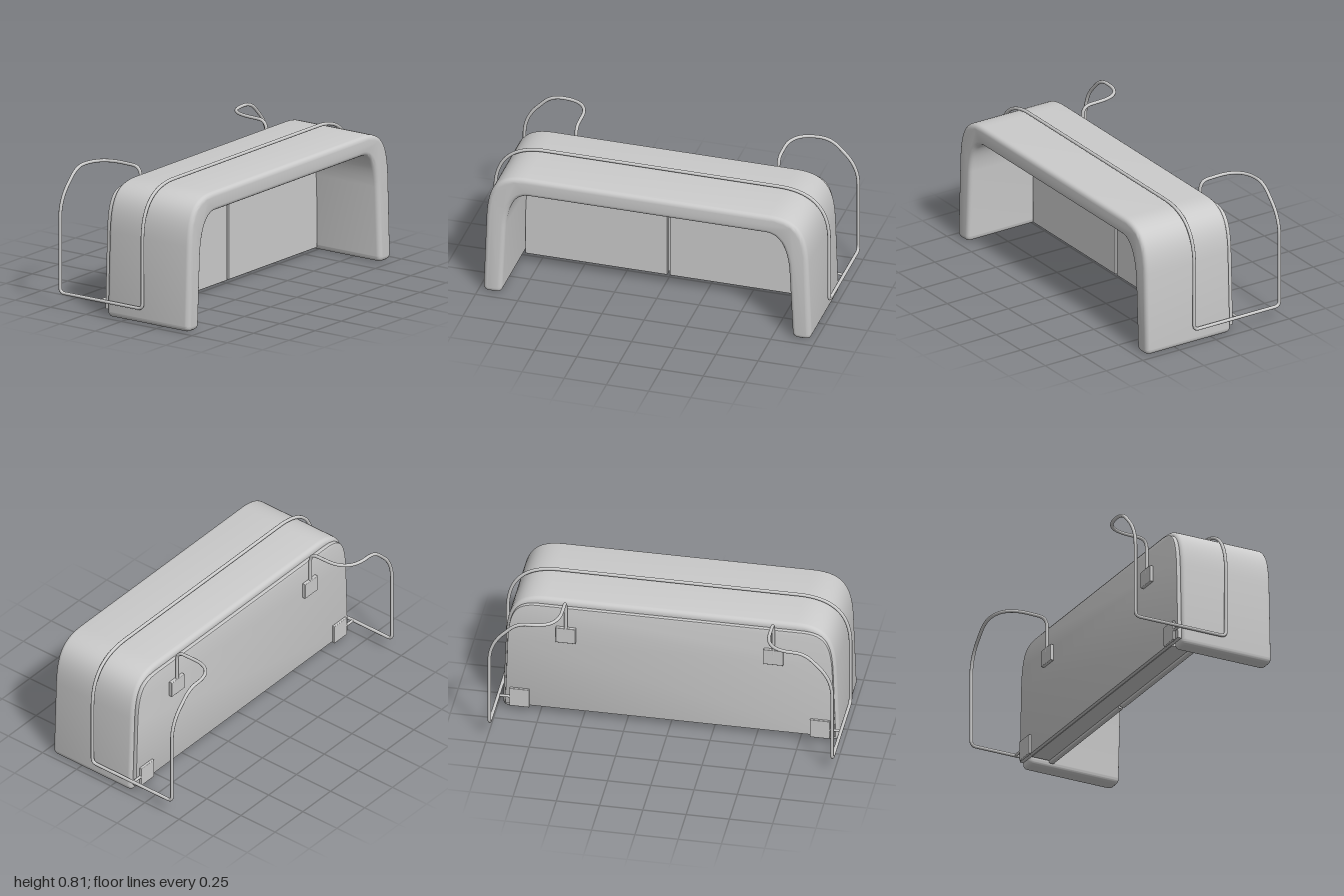
import * as THREE from 'three';
import { toCreasedNormals } from 'three/addons/utils/BufferGeometryUtils.js';
import { RoundedBoxGeometry } from 'three/addons/geometries/RoundedBoxGeometry.js';

const grey = new THREE.MeshStandardMaterial({ color: 0xcccccc });
const V = (x, y, z) => new THREE.Vector3(x, y, z);

function add(parent, name, geometry, x = 0, y = 0, z = 0) {
  const mesh = new THREE.Mesh(geometry, grey);
  mesh.name = name;
  mesh.position.set(x, y, z);
  parent.add(mesh);
  return mesh;
}

// Extrude a shape from z0 to z1 with rounded edges that stay inside the outline
function slab(shape, z0, z1, bevel, steps) {
  const g = new THREE.ExtrudeGeometry(shape, {
    depth: z1 - z0 - 2 * bevel, bevelEnabled: true, bevelThickness: bevel,
    bevelSize: bevel, bevelOffset: -bevel, bevelSegments: steps, curveSegments: 14,
  });
  g.translate(0, 0, z0 + bevel);
  return toCreasedNormals(g, 0.6);
}

// Padded arch with two legs
function archShape() {
  const s = new THREE.Shape();
  s.moveTo(0.935, 0);
  s.quadraticCurveTo(0.972, 0, 0.972, 0.04);
  s.lineTo(0.955, 0.5);
  s.bezierCurveTo(0.945, 0.68, 0.9, 0.775, 0.72, 0.775);
  s.lineTo(-0.72, 0.775);
  s.bezierCurveTo(-0.9, 0.775, -0.945, 0.68, -0.955, 0.5);
  s.lineTo(-0.972, 0.04);
  s.quadraticCurveTo(-0.972, 0, -0.935, 0);
  s.lineTo(-0.897, 0);
  s.quadraticCurveTo(-0.86, 0, -0.86, 0.04);
  s.lineTo(-0.84, 0.45);
  s.bezierCurveTo(-0.825, 0.59, -0.78, 0.662, -0.7, 0.662);
  s.lineTo(0.7, 0.662);
  s.bezierCurveTo(0.78, 0.662, 0.825, 0.59, 0.84, 0.45);
  s.lineTo(0.86, 0.04);
  s.quadraticCurveTo(0.86, 0, 0.897, 0);
  s.closePath();
  return s;
}

// Closed back board following the arch
function boardShape() {
  const s = new THREE.Shape();
  s.moveTo(-0.953, 0.04);
  s.lineTo(0.953, 0.04);
  s.lineTo(0.938, 0.48);
  s.bezierCurveTo(0.93, 0.68, 0.89, 0.737, 0.76, 0.737);
  s.lineTo(-0.76, 0.737);
  s.bezierCurveTo(-0.89, 0.737, -0.93, 0.68, -0.938, 0.48);
  s.closePath();
  return s;
}

// Line through the points, each corner [x, y, z, radius] rounded
function roundedPath(pts) {
  const path = new THREE.CurvePath();
  let from = V(...pts[0]);
  for (let i = 1; i < pts.length; i++) {
    const p = V(...pts[i].slice(0, 3)), r = pts[i][3];
    if (!r) { path.add(new THREE.LineCurve3(from, p)); break; }
    const next = V(...pts[i + 1].slice(0, 3));
    const a = p.clone().add(from.clone().sub(p).setLength(r));
    const b = p.clone().add(next.sub(p).setLength(r));
    path.add(new THREE.LineCurve3(from, a));
    path.add(new THREE.QuadraticBezierCurve3(a, p, b));
    from = b;
  }
  return path;
}

// Bent rod: over the top, down the side, backwards, up and round to the back board
const rodPath = (s) => roundedPath([
  [0, 0.797, 0.142], [s * 0.99, 0.797, 0.142, 0.3], [s * 0.99, 0.095, 0.142, 0.03],
  [s * 0.99, 0.095, -0.44, 0.03], [s * 0.99, 0.64, -0.44, 0.11], [s * 0.83, 0.803, -0.44, 0.065],
  [s * 0.6, 0.803, -0.44, 0.16], [s * 0.6, 0.797, -0.16, 0.055], [s * 0.6, 0.58, -0.16],
]);

export function createModel() {
  const model = new THREE.Group();
  model.name = 'archedUnit';

  add(model, 'archShell', slab(archShape(), -0.125, 0.45, 0.026, 4));

  // Back board and the core behind the front panels
  add(model, 'backBoard', slab(boardShape(), -0.148, -0.12, 0.004, 2));
  add(model, 'core', new THREE.BoxGeometry(1.69, 0.635, 0.12), 0, 0.3525, -0.067);

  for (const s of [-1, 1]) {
    const side = s > 0 ? 'left' : 'right';
    add(model, side + 'FrontPanel', new RoundedBoxGeometry(0.842, 0.65, 0.03, 2, 0.005), s * 0.428, 0.345, 0);

    // Rod with its mounting plates
    add(model, side + 'Rod', new THREE.TubeGeometry(rodPath(s), 260, 0.01, 10));
    add(model, side + 'UpperPlate', new RoundedBoxGeometry(0.115, 0.1, 0.022, 2, 0.004), s * 0.6, 0.56, -0.158);
    add(model, side + 'LowerPlate', new RoundedBoxGeometry(0.115, 0.12, 0.016, 2, 0.004), s * 0.868, 0.095, -0.156);
    const brace = add(model, side + 'RodBrace', new THREE.CylinderGeometry(0.008, 0.008, 0.08, 10), s * 0.95, 0.095, -0.156);
    brace.rotation.z = Math.PI / 2;
  }
  return model;
}
